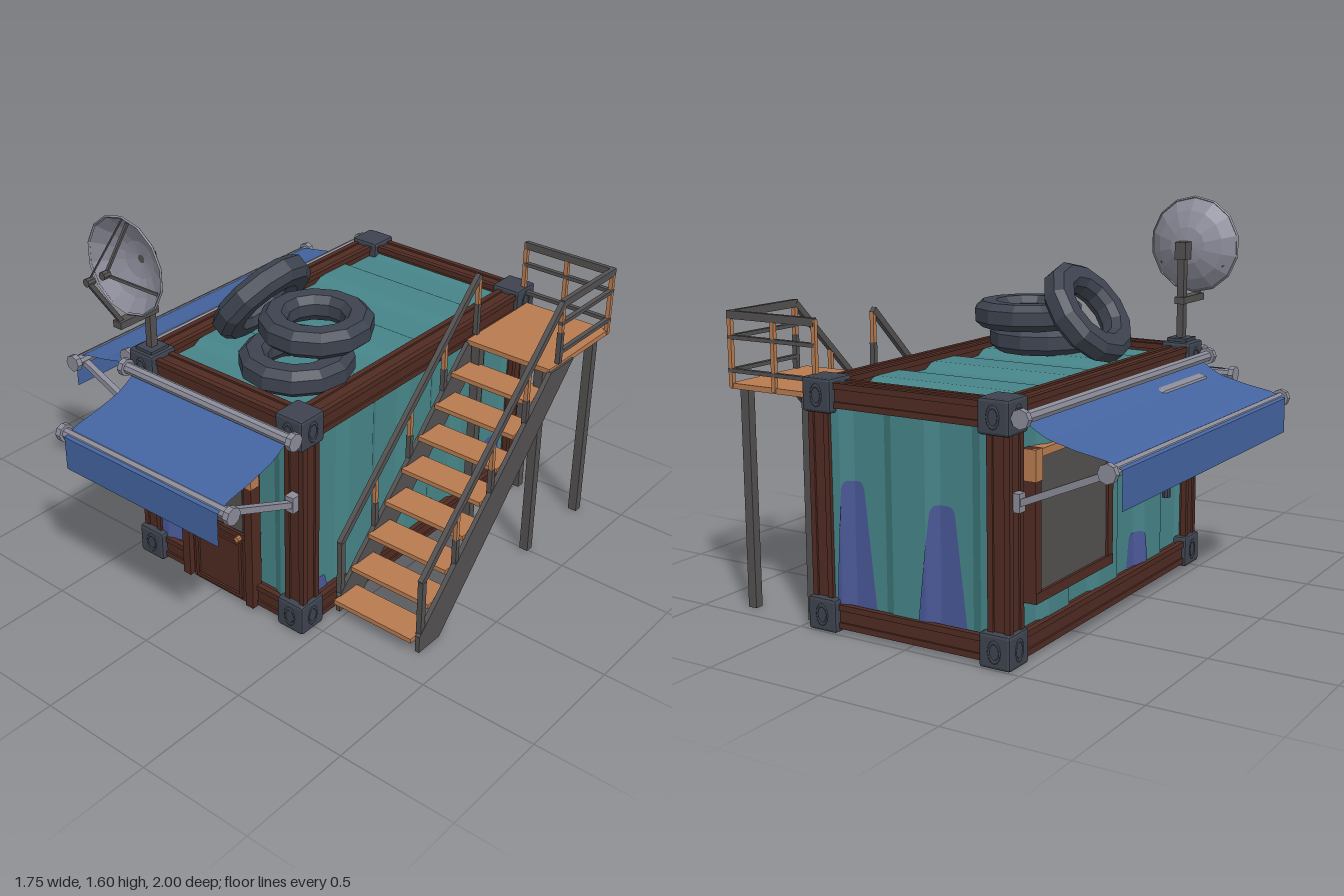
import * as THREE from 'three';
import { RoundedBoxGeometry } from 'three/addons/geometries/RoundedBoxGeometry.js';

const paint = (name, color, side = THREE.FrontSide) => {
  const m = new THREE.MeshStandardMaterial({ color, side });
  m.name = name;
  return m;
};
const V = (x, y, z) => new THREE.Vector3(x, y, z);
const ZC = -0.21; // middle of the container along z

export function createModel() {
  const teal = paint('teal panel', 0x468488);
  const rust = paint('rust brown', 0x4f2b22);
  const slate = paint('slate', 0x3d434f);
  const patchBlue = paint('patch blue', 0x4a5897, THREE.DoubleSide);
  const cloth = paint('awning blue', 0x4464a0, THREE.DoubleSide);
  const steel = paint('light steel', 0x8a8b98, THREE.DoubleSide);
  const iron = paint('dark iron', 0x535050);
  const wood = paint('wood', 0xb87b50);

  const root = new THREE.Group();
  const add = (parent, name, geo, mat) => {
    const m = new THREE.Mesh(geo, mat);
    m.name = name;
    parent.add(m);
    return m;
  };
  const group = (name, parent = root) => {
    const g = new THREE.Group();
    g.name = name;
    parent.add(g);
    return g;
  };
  const flat = (g) => {
    const f = g.index ? g.toNonIndexed() : g;
    f.computeVertexNormals();
    return f;
  };
  // box given by its spans
  const box = (p, name, mat, x0, x1, y0, y1, z0, z1) => {
    const m = add(p, name, new THREE.BoxGeometry(x1 - x0, y1 - y0, z1 - z0), mat);
    m.position.set((x0 + x1) / 2, (y0 + y1) / 2, (z0 + z1) / 2);
    return m;
  };
  // rectangular bar and round rod between two points
  const bar = (p, name, mat, a, b, w, h = w) => {
    const m = add(p, name, new THREE.BoxGeometry(w, h, a.distanceTo(b)), mat);
    m.position.copy(a).lerp(b, 0.5);
    const up = Math.abs(b.y - a.y) > 0.99 * a.distanceTo(b) ? V(0, 0, 1) : V(0, 1, 0);
    m.quaternion.setFromRotationMatrix(new THREE.Matrix4().lookAt(b, a, up));
    return m;
  };
  const rod = (p, name, mat, a, b, r, sides = 8) => {
    const m = add(p, name, flat(new THREE.CylinderGeometry(r, r, a.distanceTo(b), sides)), mat);
    m.position.copy(a).lerp(b, 0.5);
    m.quaternion.setFromUnitVectors(V(0, 1, 0), b.clone().sub(a).normalize());
    return m;
  };

  // ---- container frame: ridged beams and corner castings
  const frame = group('frame');
  const beam = (name, a, b) => {
    bar(frame, name, rust, a, b, 0.08);
    const along = b.clone().sub(a);
    const [p, q] = [V(1, 0, 0), V(0, 1, 0), V(0, 0, 1)].filter((e) => Math.abs(e.dot(along)) < 0.01);
    for (const s of [-1, 1]) for (const t of [-1, 1]) {
      const o = p.clone().multiplyScalar(s * 0.036).addScaledVector(q, t * 0.036);
      bar(frame, name + 'Lip', rust, a.clone().add(o), b.clone().add(o), 0.024);
    }
  };
  const X = 0.4, Z0 = ZC - 0.72, Z1 = ZC + 0.72, Y0 = 0.065, Y1 = 0.927;
  for (const y of [Y0, Y1]) {
    for (const z of [Z0, Z1]) beam('crossRail', V(-X, y, z), V(X, y, z));
    for (const x of [-X, X]) beam('sideRail', V(x, y, Z0), V(x, y, Z1));
  }
  for (const x of [-1, 1]) for (const z of [-1, 1]) {
    beam('cornerPost', V(x * X, Y0, ZC + z * 0.72), V(x * X, Y1, ZC + z * 0.72));
    for (const y of [0.067, 0.925]) {
      const c = group('cornerBlock', frame);
      c.position.set(x * 0.392, y, ZC + z * 0.722);
      add(c, 'block', flat(new RoundedBoxGeometry(0.134, 0.134, 0.134, 1, 0.012)), slate);
      for (const side of [0, 1]) {
        const ring = add(c, 'lockingHole', new THREE.TorusGeometry(0.03, 0.006, 4, 12), slate);
        ring.scale.set(0.8, 1.25, 0.6);
        if (side) { ring.position.x = x * 0.067; ring.rotation.y = Math.PI / 2; } else ring.position.z = z * 0.067;
      }
    }
  }

  // ---- corrugated panels: u along, v up, w outward
  const rib = (u) => {
    const d = Math.abs(THREE.MathUtils.euclideanModulo(u + 0.195, 0.39) - 0.195);
    return 0.028 * THREE.MathUtils.clamp((0.125 - d) / 0.05, 0, 1);
  };
  const panel = (name, mat, U, W, pos, len, height) => {
    const g = group(name);
    g.quaternion.setFromRotationMatrix(new THREE.Matrix4().makeBasis(U, W.clone().cross(U), W));
    g.position.copy(pos);
    const us = [-len / 2, len / 2];
    for (let k = -3; k <= 3; k++) for (const d of [-0.125, -0.075, 0.075, 0.125]) {
      const u = k * 0.39 + d;
      if (Math.abs(u) < len / 2) us.push(u);
    }
    us.sort((a, b) => a - b);
    const s = new THREE.Shape(us.map((u) => new THREE.Vector2(u, -rib(u))));
    s.lineTo(len / 2, 0.02);
    s.lineTo(-len / 2, 0.02);
    const geo = new THREE.ExtrudeGeometry(s, { depth: height, bevelEnabled: false });
    add(g, 'corrugatedSheet', geo.rotateX(-Math.PI / 2).translate(0, -height / 2, 0), mat);
    return g;
  };
  // paint patch that follows the ribs and narrows towards its top
  const patch = (g, mat, uA, uB, tA, tB, v0, v1) => {
    const geo = new THREE.PlaneGeometry(1, 1, 24, 6), p = geo.attributes.position;
    for (let i = 0; i < p.count; i++) {
      const s = p.getX(i) + 0.5, t = p.getY(i) + 0.5;
      const u = THREE.MathUtils.lerp(THREE.MathUtils.lerp(uA, uB, s), THREE.MathUtils.lerp(tA, tB, s), t);
      const round = 0.03 * Math.pow(Math.abs(2 * s - 1), 6);
      p.setXYZ(i, u, v0 + (v1 - v0 - round) * t, rib(u) + 0.004);
    }
    add(g, 'paintPatch', flat(geo), mat);
  };
  const mid = 0.495, B = 0.1 - mid;
  const ex = V(1, 0, 0), ey = V(0, 1, 0), ez = V(0, 0, 1), neg = (v) => v.clone().negate();
  const front = panel('frontWall', teal, ex, ez, V(0, mid, Z1 + 0.005), 0.76, 0.82);
  patch(front, patchBlue, -0.36, -0.195, -0.36, -0.25, B, 0.535 - mid);
  const back = panel('backWall', teal, neg(ex), neg(ez), V(0, mid, Z0 - 0.005), 0.76, 0.82);
  patch(back, patchBlue, -0.34, -0.17, -0.31, -0.22, B, 0.6 - mid);
  patch(back, patchBlue, 0.04, 0.24, 0.09, 0.19, B, 0.56 - mid);
  const right = panel('stairSideWall', teal, neg(ez), ex, V(X, mid, ZC), 1.42, 0.82);
  for (const [z0, z1, y] of [[0.46, 0.355, 0.17], [0.05, -0.075, 0.17], [-0.25, -0.38, 0.17], [-0.73, -0.88, 0.27]])
    patch(right, patchBlue, ZC - z0, ZC - z1, ZC - z0 + 0.012, ZC - z1 - 0.012, B, y - mid);
  const left = panel('awningSideWall', teal, ez, neg(ex), V(-X, mid, ZC), 1.42, 0.82);
  patch(left, patchBlue, 0.2, 0.34, 0.22, 0.32, B, 0.25 - mid);
  panel('roof', teal, neg(ez), ey, V(0, 0.925, ZC), 1.42, 0.76);
  const floor = panel('floor', patchBlue, neg(ez), neg(ey), V(0, 0.07, ZC), 1.42, 0.76);
  patch(floor, teal, -0.35, -0.12, -0.33, -0.15, -0.2, -0.02);
  patch(floor, teal, 0.3, 0.5, 0.33, 0.47, 0.05, 0.25);

  // ---- front door
  const door = group('frontDoor');
  box(door, 'doorLeaf', rust, -0.145, 0.16, 0.01, 0.7, 0.53, 0.568);
  box(door, 'doorWindow', iron, -0.13, 0.14, 0.355, 0.65, 0.567, 0.572);
  box(door, 'doorRail', rust, -0.145, 0.16, 0.325, 0.35, 0.56, 0.58);
  for (const x of [-0.125, 0.118]) box(door, 'panelTrim', rust, x, x + 0.016, 0.025, 0.3, 0.56, 0.578);
  for (const y of [0.025, 0.285]) box(door, 'panelTrim', rust, -0.125, 0.134, y, y + 0.016, 0.56, 0.578);
  for (const x of [-0.195, 0.16]) {
    box(door, 'doorJamb', rust, x, x + 0.04, 0.01, 0.69, 0.53, 0.584);
    box(door, 'jambCap', wood, x - 0.004, x + 0.044, 0.59, 0.69, 0.54, 0.587);
  }
  box(door, 'lintel', rust, -0.2, 0.205, 0.685, 0.725, 0.53, 0.585);
  rod(door, 'doorKnob', wood, V(0.13, 0.33, 0.57), V(0.13, 0.33, 0.6), 0.013);

  // ---- side window
  const win = group('sideWindow');
  box(win, 'glass', iron, -0.443, -0.38, 0.22, 0.76, -0.8, -0.23);
  for (const z of [-0.81, -0.26]) {
    box(win, 'windowJamb', rust, -0.453, -0.38, 0.2, 0.78, z, z + 0.04);
    box(win, 'jambCap', wood, -0.457, -0.38, 0.66, 0.78, z - 0.004, z + 0.044);
  }
  box(win, 'sill', rust, -0.455, -0.38, 0.2, 0.24, -0.81, -0.22);
  box(win, 'head', wood, -0.452, -0.38, 0.745, 0.775, -0.81, -0.22);

  // ---- air conditioner
  const ac = group('airConditioner');
  const body = add(ac, 'housing', flat(new RoundedBoxGeometry(0.15, 0.26, 0.44, 1, 0.03)), steel);
  body.position.set(-0.5, 0.75, 0.19);
  rod(ac, 'fan', slate, V(-0.572, 0.75, 0.12), V(-0.58, 0.75, 0.12), 0.1, 14);
  box(ac, 'shelf', iron, -0.56, -0.4, 0.57, 0.59, -0.02, 0.4);
  for (const z of [0.03, 0.34]) box(ac, 'foot', iron, -0.54, -0.42, 0.585, 0.63, z, z + 0.03);
  rod(ac, 'drainPipe', slate, V(-0.485, 0.38, 0.19), V(-0.485, 0.58, 0.19), 0.018);
  box(ac, 'pipeClamp', slate, -0.475, -0.4, 0.46, 0.56, 0.17, 0.21);

  // ---- awnings: x along the wall, z outward
  const fold = [[0.04, 0.905], [0.08, 0.88], [0.125, 0.857], [0.235, 0.83], [0.35, 0.81], [0.415, 0.785], [0.415, 0.64]];
  const awning = (name, half, arm) => {
    const g = group(name);
    const geo = new THREE.PlaneGeometry(2 * half, 1, 1, fold.length - 1), p = geo.attributes.position;
    for (let i = 0; i < p.count; i++) {
      const [d, y] = fold[i >> 1];
      p.setXYZ(i, p.getX(i), y, d);
    }
    add(g, 'canvas', flat(geo), cloth);
    for (const [y, d] of [[0.927, 0.041], [0.778, 0.382]]) {
      rod(g, 'roller', steel, V(-half - 0.04, y, d), V(half + 0.04, y, d), 0.024);
      for (const s of [-1, 1])
        rod(g, 'rollerCap', steel, V(s * (half + 0.025), y, d), V(s * (half + 0.05), y, d), 0.037);
    }
    for (const s of [-1, 1]) {
      bar(g, 'arm', steel, V(s * arm, 0.77, 0.375), V(s * arm, 0.61, 0), 0.026);
      box(g, 'armMount', steel, s * arm - 0.02, s * arm + 0.02, 0.58, 0.65, -0.03, 0.015);
    }
    return g;
  };
  awning('frontAwning', 0.408, 0.4).position.set(0.005, 0, 0.575);
  const sideAwning = awning('sideAwning', 0.725, 0.715);
  sideAwning.position.set(-0.455, 0, -0.213);
  sideAwning.rotation.y = -Math.PI / 2;

  // ---- satellite dish
  const dish = group('satelliteDish');
  const bowl = [[0, 0], [0.08, 0.014], [0.15, 0.046], [0.205, 0.092]].map(([r, y]) => new THREE.Vector2(r, y));
  add(dish, 'bowl', flat(new THREE.LatheGeometry(bowl, 14).rotateX(Math.PI / 2)), steel).position.set(-0.385, 1.395, 0.545);
  const rim = add(dish, 'rim', flat(new THREE.TorusGeometry(0.203, 0.006, 4, 14)), steel);
  rim.position.set(-0.385, 1.395, 0.636);
  rim.rotation.z = Math.PI / 2;
  const D = (x, y, z) => V(-0.385 + x, y, z);
  box(dish, 'mast', iron, -0.4, -0.37, 0.98, 1.4, 0.5, 0.534);
  box(dish, 'mastHead', iron, -0.41, -0.36, 1.34, 1.415, 0.49, 0.548);
  box(dish, 'mastBase', slate, -0.43, -0.34, 0.985, 1.005, 0.47, 0.565);
  box(dish, 'mountPlate', iron, -0.407, -0.363, 1.15, 1.18, 0.49, 0.695);
  bar(dish, 'feedArm', iron, D(0, 1.17, 0.67), D(0, 1.39, 0.82), 0.018);
  rod(dish, 'feedHorn', iron, D(0, 1.395, 0.8), D(0, 1.395, 0.835), 0.017);
  rod(dish, 'innerHorn', iron, D(0, 1.395, 0.72), D(0, 1.395, 0.755), 0.017);
  rod(dish, 'topStay', iron, D(0, 1.59, 0.635), D(0, 1.4, 0.82), 0.004, 5);
  for (const a of [-Math.PI / 6, -Math.PI * 5 / 6, Math.PI / 2])
    bar(dish, 'stay', iron, D(0.17 * Math.cos(a), 1.395 + 0.17 * Math.sin(a), 0.61), D(0, 1.395, 0.735), 0.011);

  // ---- tyres on the roof
  const ringPts = [[0.115, -0.025], [0.14, -0.056], [0.2, -0.056], [0.232, -0.028], [0.232, 0.028],
    [0.2, 0.056], [0.14, 0.056], [0.115, 0.025], [0.115, -0.025]].map(([r, y]) => new THREE.Vector2(r, y));
  const tyres = group('tyres');
  for (const [x, y, z, tilt, spin] of [[0.14, 1.005, 0.235, 0, 0.1], [0.14, 1.122, 0.115, 0, 0.26], [-0.15, 1.143, 0.113, 0.927, 0]]) {
    const t = add(tyres, 'tyre', flat(new THREE.LatheGeometry(ringPts, 12).rotateY(spin)), slate);
    t.position.set(x, y, z);
    t.rotation.z = tilt;
  }

  // ---- staircase with landing
  const stairs = group('staircase');
  for (let i = 0; i < 8; i++) {
    const y = 0.065 + 0.105 * i, z = 0.39 - 0.108 * i;
    box(stairs, 'tread', wood, 0.468, 0.855, y - 0.01, y + 0.01, z - 0.14, z);
  }
  box(stairs, 'landing', wood, 0.462, 0.866, 0.895, 0.917, -0.94, -0.48);
  const stringer = new THREE.Shape([[0.36, 0], [0.225, 0], [-0.65, 0.905], [-0.48, 0.905], [0.36, 0.075]].map(([z, y]) => new THREE.Vector2(z, y)));
  for (const x of [0.473, 0.876]) {
    const geo = new THREE.ExtrudeGeometry(stringer, { depth: 0.02, bevelEnabled: false });
    add(stairs, 'stringer', geo.rotateY(-Math.PI / 2), iron).position.x = x;
  }
  for (const x of [0.5, 0.808]) for (const z of [-0.51, -0.91])
    box(stairs, 'landingLeg', iron, x - 0.02, x + 0.02, 0, 0.896, z - 0.018, z + 0.018);

  // handrails
  const rails = group('railings');
  for (const x of [0.46, 0.862]) {
    bar(rails, 'handrail', iron, V(x, 0.325, 0.345), V(x, 1.19, -0.55), 0.022, 0.026);
    box(rails, 'newelPost', iron, x - 0.012, x + 0.012, 0, 0.33, 0.325, 0.35);
    for (let i = 0; i < 4; i++) {
      const z = 0.122 - 0.224 * i, y = 0.31 + 0.216 * i;
      box(rails, 'baluster', wood, x - 0.009, x + 0.009, y + 0.1, y + 0.225, z - 0.009, z + 0.009);
      box(rails, 'balusterFoot', iron, x - 0.011, x + 0.011, y - 0.04, y + 0.1, z - 0.01, z + 0.01);
    }
  }
  for (const [y, h] of [[1.188, 0.032], [1.1, 0.016], [0.968, 0.016]]) {
    bar(rails, 'landingSideRail', iron, V(0.862, y, -0.54), V(0.862, y, -0.945), 0.02, h);
    bar(rails, 'landingBackRail', iron, V(0.44, y, -0.935), V(0.87, y, -0.935), 0.02, h);
  }
  for (const [x, z] of [[0.862, -0.935], [0.645, -0.935], [0.442, -0.935]])
    box(rails, 'landingPost', wood, x - 0.009, x + 0.009, 0.9, 1.2, z - 0.009, z + 0.009);

  return root;
}
